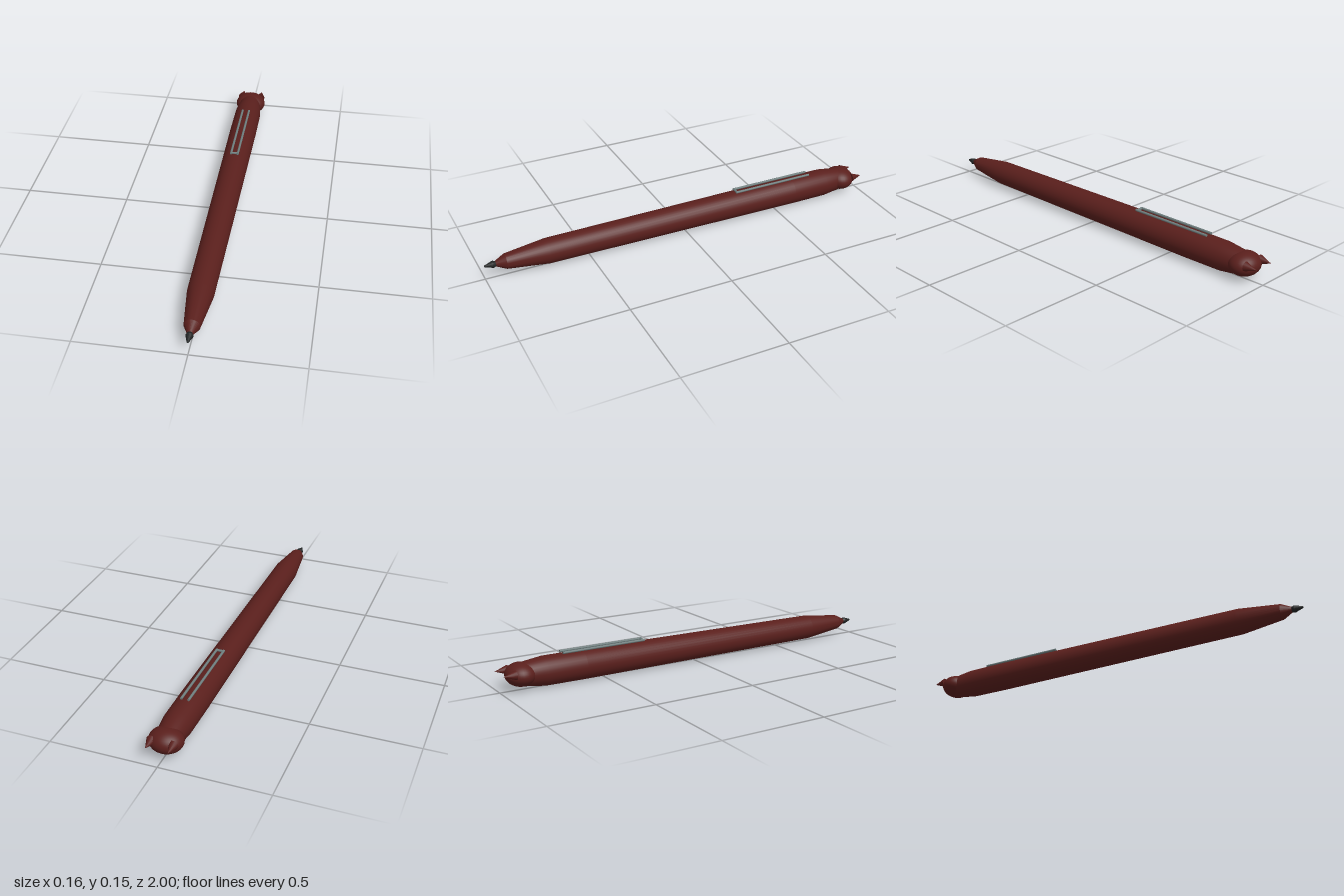
import * as THREE from 'three';
import { toCreasedNormals } from 'three/addons/utils/BufferGeometryUtils.js';

const AXIS_Y = 0.071;

// Turned part along z; profile is [radius, z] from back to front.
function turned(profile, segments = 32) {
  const points = profile.map(([r, z]) => new THREE.Vector2(r, z));
  const geometry = new THREE.LatheGeometry(points, segments);
  geometry.rotateX(Math.PI / 2);
  return toCreasedNormals(geometry, 0.25);
}

export function createModel() {
  const group = new THREE.Group();
  const red = new THREE.MeshStandardMaterial({ color: 0x5a1f1c });
  const steel = new THREE.MeshStandardMaterial({ color: 0x6f7e7e });
  const black = new THREE.MeshStandardMaterial({ color: 0x222424 });

  function add(name, geometry, material, x = 0, y = AXIS_Y, z = 0, parent = group) {
    const mesh = new THREE.Mesh(geometry, material);
    mesh.name = name;
    mesh.position.set(x, y, z);
    parent.add(mesh);
    return mesh;
  }

  // Barrel with a long gentle taper, a nose cone and a narrowing neck
  add('barrel', turned([
    [0, -0.92], [0.05, -0.92], [0.059, -0.86], [0.068, -0.79], [0.069, -0.6],
    [0.06, 0.7], [0.036, 0.9], [0.011, 0.95], [0, 0.95],
  ]), red);

  // Writing point
  add('tip', turned([[0, 0.935], [0.009, 0.935], [0.017, 0.958], [0.004, 0.997], [0, 1]], 20), black);

  // Wide rounded head on the back end
  const head = new THREE.SphereGeometry(1, 32, 20);
  head.scale(0.078, 0.054, 0.07);
  add('head', head, red, 0, AXIS_Y + 0.002, -0.9);

  // Pointed ears
  for (const side of [1, -1]) {
    const ear = new THREE.ConeGeometry(0.022, 0.06, 16);
    ear.rotateX(-Math.PI / 2);
    add(side > 0 ? 'leftEar' : 'rightEar', ear, red, side * 0.05, AXIS_Y + 0.016, -0.97);
  }

  // U-shaped wire clip
  const clip = new THREE.Group();
  clip.name = 'clip';
  group.add(clip);
  for (const side of [1, -1]) {
    const rail = new THREE.CylinderGeometry(0.0058, 0.0058, 0.42, 12);
    rail.rotateX(Math.PI / 2);
    add(side > 0 ? 'leftRail' : 'rightRail', rail, steel, side * 0.017, 0.144, -0.49, clip);
  }
  const bar = new THREE.CapsuleGeometry(0.0058, 0.034, 4, 12);
  bar.rotateZ(Math.PI / 2);
  add('crossbar', bar, steel, 0, 0.144, -0.286, clip);

  return group;
}
